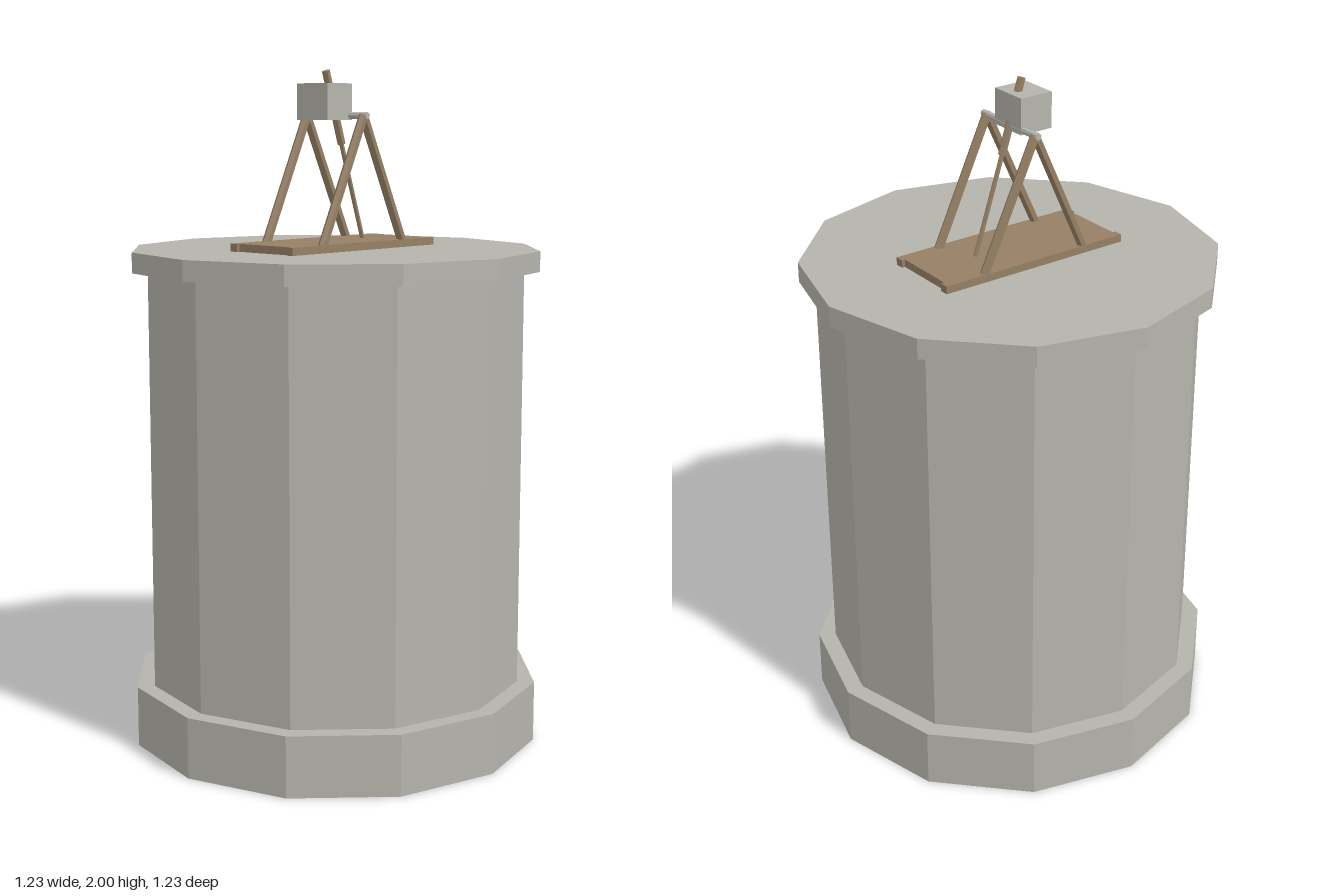
import * as THREE from 'three';

export function createModel() {
  const model = new THREE.Group();
  model.name = 'towerWithCatapult';

  const stone = new THREE.MeshStandardMaterial({ color: 0xb5b4ac });
  stone.name = 'stone';
  const wood = new THREE.MeshStandardMaterial({ color: 0x968065 });
  wood.name = 'wood';

  const add = (name, geometry, material, x = 0, y = 0, z = 0, parent = model) => {
    // unshared vertices give every facet its own flat normal
    const flat = geometry.toNonIndexed();
    flat.computeVertexNormals();
    const mesh = new THREE.Mesh(flat, material);
    mesh.name = name;
    mesh.position.set(x, y, z);
    parent.add(mesh);
    return mesh;
  };

  // straight pole between two points
  const pole = (name, from, to, radius, material, parent, sides = 6) => {
    const a = new THREE.Vector3(...from), b = new THREE.Vector3(...to);
    const dir = b.clone().sub(a);
    const mid = a.clone().add(b).multiplyScalar(0.5);
    const mesh = add(name, new THREE.CylinderGeometry(radius, radius, dir.length(), sides),
      material, mid.x, mid.y, mid.z, parent);
    mesh.quaternion.setFromUnitVectors(new THREE.Vector3(0, 1, 0), dir.normalize());
    return mesh;
  };

  // twelve-sided tower: foot, shaft and cap
  const drum = (name, radius, y0, y1) =>
    add(name, new THREE.CylinderGeometry(radius, radius, y1 - y0, 12), stone, 0, (y0 + y1) / 2, 0);
  drum('towerFoot', 0.617, 0, 0.18);
  drum('towerShaft', 0.565, 0.18, 1.42);
  drum('towerCap', 0.611, 1.42, 1.48);

  const catapult = new THREE.Group();
  catapult.name = 'catapult';
  model.add(catapult);

  // deck between two slightly longer side rails
  add('deck', new THREE.BoxGeometry(0.196, 0.023, 0.6), wood, 0, 1.4915, 0, catapult);
  for (const side of [-1, 1]) {
    const label = side > 0 ? 'left' : 'right';
    add(label + 'Rail', new THREE.BoxGeometry(0.027, 0.023, 0.62), wood,
      side * 0.1115, 1.4915, 0, catapult);

    // A-frame legs
    for (const end of [-1, 1]) {
      pole(label + (end > 0 ? 'FrontLeg' : 'BackLeg'),
        [side * 0.113, 1.498, end * 0.174], [side * 0.113, 1.868, 0], 0.014, wood, catapult);
    }
  }

  // axle across the frame tops
  pole('axle', [-0.129, 1.868, 0], [0.129, 1.868, 0], 0.01, stone, catapult, 8);

  // throwing arm: slender tail and thicker head, with the counterweight on top
  pole('armTail', [0, 1.498, -0.125], [0, 1.79, -0.028], 0.007, wood, catapult);
  pole('armHead', [0, 1.785, -0.03], [0, 1.997, 0.038], 0.012, wood, catapult);
  add('counterweight', new THREE.BoxGeometry(0.122, 0.105, 0.106), stone, 0, 1.908, 0.044, catapult);

  return model;
}
